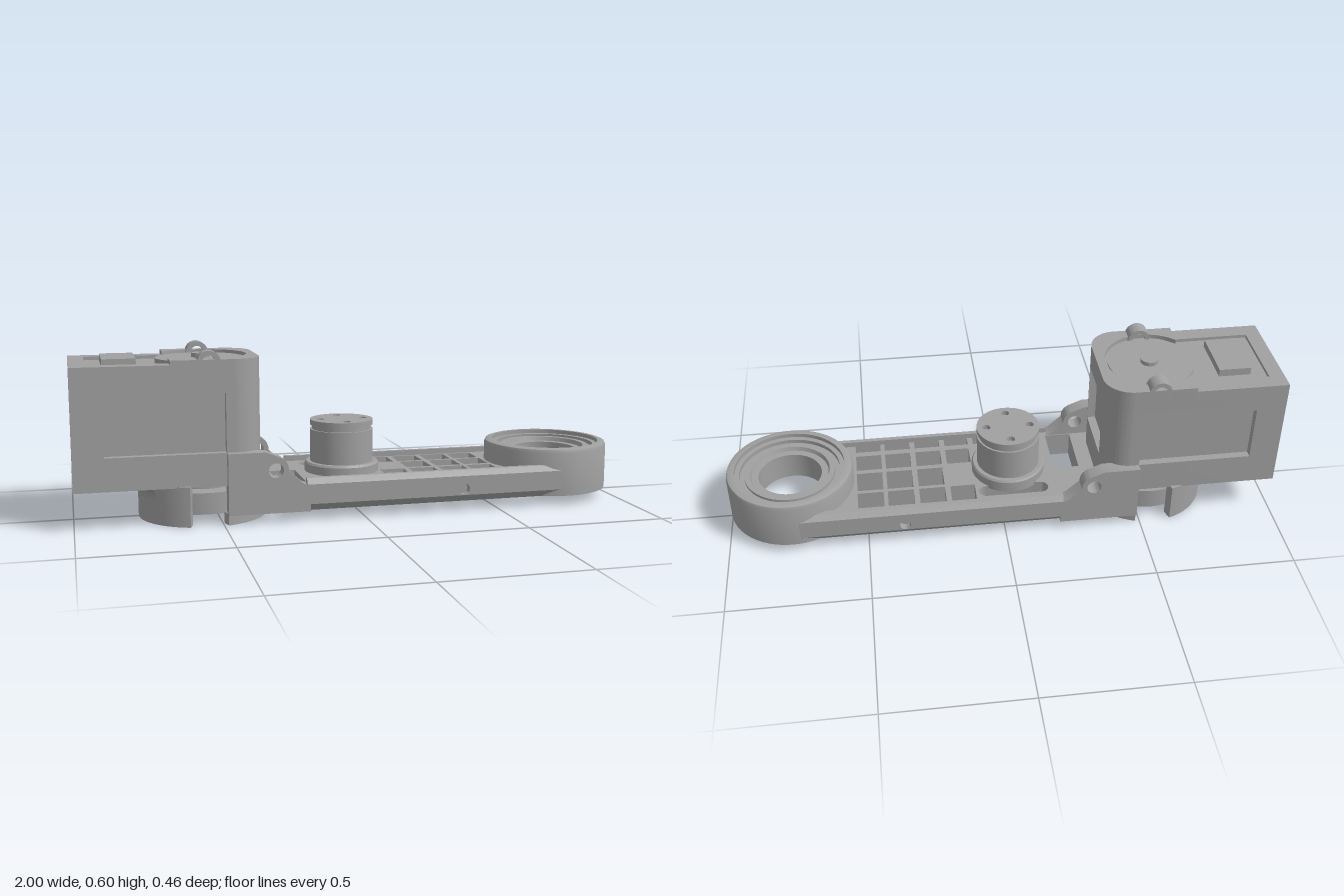
import * as THREE from 'three';
import { toCreasedNormals } from 'three/addons/utils/BufferGeometryUtils.js';

const grey = new THREE.MeshStandardMaterial({ color: 0xa0a0a0 });
grey.name = 'grey plastic';

export function createModel() {
  const model = new THREE.Group();
  model.name = 'actuatorArm';

  const add = (name, geo, x = 0, y = 0, z = 0) => {
    const mesh = new THREE.Mesh(toCreasedNormals(geo, 0.6), grey);
    mesh.name = name;
    mesh.position.set(x, y, z);
    model.add(mesh);
  };
  const box = (name, x0, x1, y0, y1, z0, z1) => add(name,
    new THREE.BoxGeometry(x1 - x0, y1 - y0, z1 - z0), (x0 + x1) / 2, (y0 + y1) / 2, (z0 + z1) / 2);
  const extrude = (shape, depth) => new THREE.ExtrudeGeometry(shape, { depth, bevelEnabled: false, curveSegments: 24 });
  // plan outline (x, z) raised from y0 to y1
  const slab = (name, shape, y0, y1) => add(name, extrude(shape, y1 - y0).rotateX(Math.PI / 2), 0, y1, 0);
  // side outline (x, y) running from z0 to z1
  const side = (name, shape, z0, z1) => add(name, extrude(shape, z1 - z0), 0, 0, z0);
  const lathe = (name, pts, x, start = 0, length = Math.PI * 2) => add(name,
    new THREE.LatheGeometry(pts.map(p => new THREE.Vector2(...p)), 64, start, length), x);
  const poly = pts => new THREE.Shape(pts.map(p => new THREE.Vector2(...p)));
  const rect = (x0, x1, y0, y1) => poly([[x0, y0], [x1, y0], [x1, y1], [x0, y1]]);
  const circle = (x, y, r) => new THREE.Shape().absarc(x, y, r, 0, Math.PI * 2, false);

  // ---- motor housing ----
  const roundedPlan = x0 => {
    const s = new THREE.Shape();
    s.moveTo(x0, -0.2);
    s.lineTo(-0.455, -0.2);
    s.absarc(-0.455, -0.1, 0.1, -Math.PI / 2, 0, false);
    s.absarc(-0.455, 0.1, 0.1, 0, Math.PI / 2, false);
    s.lineTo(x0, 0.2);
    return s;
  };
  slab('housingBase', roundedPlan(-1), 0.135, 0.25);
  box('motorCore', -0.975, -0.4, 0.2, 0.543, -0.172, 0.172);

  const notched = new THREE.Shape();
  notched.moveTo(-0.485, -0.2);
  notched.lineTo(-0.455, -0.2);
  notched.absarc(-0.455, -0.1, 0.1, -Math.PI / 2, -0.12, false);
  for (const p of [[-0.356, -0.112], [-0.385, -0.112], [-0.385, 0.112], [-0.356, 0.112]]) notched.lineTo(...p);
  notched.absarc(-0.455, 0.1, 0.1, 0.12, Math.PI / 2, false);
  notched.lineTo(-0.485, 0.2);
  slab('housingNose', notched, 0.25, 0.48);

  const roof = roundedPlan(-1);
  roof.holes.push(rect(-0.945, -0.6, -0.14, 0.14));
  slab('housingRoof', roof, 0.48, 0.555);

  const collar = new THREE.Shape();
  collar.moveTo(-0.67, -0.113);
  collar.absarc(-0.55, 0, 0.165, -2.386, 2.386, false);
  collar.lineTo(-0.67, 0.2);
  collar.lineTo(-0.455, 0.2);
  collar.absarc(-0.455, 0.1, 0.1, Math.PI / 2, 0, true);
  collar.absarc(-0.455, -0.1, 0.1, 0, -Math.PI / 2, true);
  collar.lineTo(-0.67, -0.2);
  slab('roofCollar', collar, 0.554, 0.57);
  add('motorLid', new THREE.CylinderGeometry(0.155, 0.155, 0.03, 48), -0.55, 0.545);
  add('shaftPin', new THREE.CylinderGeometry(0.032, 0.032, 0.04, 32), -0.545, 0.555);
  box('roofPad', -0.89, -0.775, 0.54, 0.57, -0.1, 0.1);

  const clip = circle(-0.54, 0.56, 0.04);
  clip.holes.push(circle(-0.54, 0.56, 0.024));

  // ---- fork cheek outline ----
  const cheek = new THREE.Shape();
  cheek.moveTo(-0.485, 0.035);
  cheek.lineTo(-0.2, 0.035);
  cheek.lineTo(-0.2, 0.125);
  cheek.lineTo(-0.225, 0.135);
  cheek.lineTo(-0.275, 0.18);
  cheek.quadraticCurveTo(-0.275, 0.215, -0.305, 0.23);
  cheek.lineTo(-0.355, 0.25);
  cheek.lineTo(-0.485, 0.25);
  cheek.holes.push(circle(-0.32, 0.185, 0.026));

  const railBand = rect(-0.21, 0.77, 0.06, 0.13);
  railBand.holes.push(circle(0.365, 0.082, 0.02));

  for (const s of [1, -1]) {
    const span = (a, b) => s > 0 ? [a, b] : [-b, -a];
    box('housingCorner', -1, -0.895, 0.25, 0.48, ...span(0.115, 0.2));
    box('windowHeader', -0.9, -0.48, 0.455, 0.48, ...span(0.165, 0.2));
    side('roofClip', clip, ...span(0.145, 0.2));
    side('forkCheek', cheek, ...span(0.175, 0.228));
    side('railBand', railBand, ...span(0.195, 0.228));
    // bevelled strips above and below the rail band
    for (const [name, y0, y1, w0, w1] of [['railTop', 0.13, 0.15, 0.228, 0.212], ['railBottom', 0.035, 0.06, 0.208, 0.228]]) {
      const section = poly([[-s * 0.195, y0], [-s * w0, y0], [-s * w1, y1], [-s * 0.195, y1]]);
      add(name, extrude(section, 0.98).rotateY(Math.PI / 2), -0.21);
    }
  }

  // ---- lattice plate ----
  const plate = new THREE.Shape();
  plate.moveTo(-0.485, -0.179);
  plate.lineTo(-0.21, -0.179);
  plate.lineTo(-0.21, -0.2);
  plate.lineTo(0.69, -0.2);
  plate.absarc(0.77, 0, 0.212, 4.376, 1.907, true);
  plate.lineTo(-0.21, 0.2);
  plate.lineTo(-0.21, 0.179);
  plate.lineTo(-0.485, 0.179);
  plate.absarc(-0.5475, 0, 0.19, 1.23, -1.23, true);
  const columns = [[0.1, 0.19], [0.21, 0.305], [0.325, 0.42], [0.435, 0.53]];
  const rows = [[-0.185, -0.09], [-0.075, 0.025], [0.045, 0.13], [0.155, 0.197]];
  rows.forEach((r, j) => columns.forEach((c, i) => {
    if (i || j !== 1) plate.holes.push(rect(...c, ...r));
  }));
  plate.holes.push(rect(-0.13, -0.05, 0.155, 0.197), rect(-0.02, 0.08, 0.155, 0.197));
  plate.holes.push(rect(-0.3, -0.205, -0.03, 0.172));
  const slot = new THREE.Path();
  slot.absarc(0.06, -0.133, 0.028, -Math.PI / 2, Math.PI / 2, false);
  slot.absarc(-0.14, -0.133, 0.028, Math.PI / 2, Math.PI * 1.5, false);
  plate.holes.push(slot);
  slab('latticePlate', plate, 0.035, 0.13);

  // ---- bearing ring at the far end ----
  lathe('endRing', [[0.165, 0.035], [0.23, 0.035], [0.23, 0.195], [0.226, 0.206], [0.215, 0.21], [0.2, 0.21],
    [0.2, 0.195], [0.182, 0.195], [0.182, 0.18], [0.165, 0.18], [0.165, 0.19], [0.145, 0.19], [0.14, 0.175],
    [0.115, 0.175], [0.115, 0.075], [0.165, 0.075], [0.165, 0.035]], 0.77);

  // ---- pivot hub ----
  lathe('pivotHub', [[0, 0.12], [0.135, 0.12], [0.135, 0.16], [0.13, 0.167], [0.115, 0.167], [0.115, 0.285],
    [0.108, 0.285], [0.108, 0.302], [0, 0.302]], -0.035);
  const cap = circle(-0.035, 0, 0.115);
  for (let i = 0; i < 4; i++) {
    const a = i * Math.PI / 2;
    cap.holes.push(circle(-0.035 + 0.08 * Math.cos(a), 0.08 * Math.sin(a), 0.015));
  }
  slab('hubCap', cap, 0.3, 0.32);

  // ---- lower bearing and its split ring ----
  const arc = (mid, half) => {
    const s = new THREE.Shape();
    s.absarc(-0.5475, 0, 0.2275, mid - half, mid + half, false);
    s.absarc(-0.5475, 0, 0.19, mid + half, mid - half, true);
    return s;
  };
  slab('splitRingFork', arc(0, 1.29), 0, 0.04);
  slab('splitRingMotor', arc(Math.PI, 1.27), 0, 0.14);
  const fillet = [];
  for (let i = 0; i <= 6; i++) {
    const a = i / 6 * Math.PI / 2;
    fillet.push([0.2275 + 0.045 * (1 - Math.cos(a)), 0.087 + 0.048 * Math.sin(a)]);
  }
  lathe('ringFillet', fillet, -0.5475, Math.PI * 1.5 - 0.7, 1.4);
  lathe('lowerBearing', [[0.115, 0.035], [0.14, 0.035], [0.14, 0.045], [0.165, 0.045], [0.165, 0.035], [0.186, 0.035],
    [0.186, 0.11], [0.115, 0.11], [0.115, 0.035]], -0.5475);
  add('lowerHub', new THREE.CylinderGeometry(0.12, 0.12, 0.05, 48), -0.5475, 0.12);
  add('lowerScrew', new THREE.CylinderGeometry(0.04, 0.04, 0.03, 32), -0.5475, 0.085);

  return model;
}
